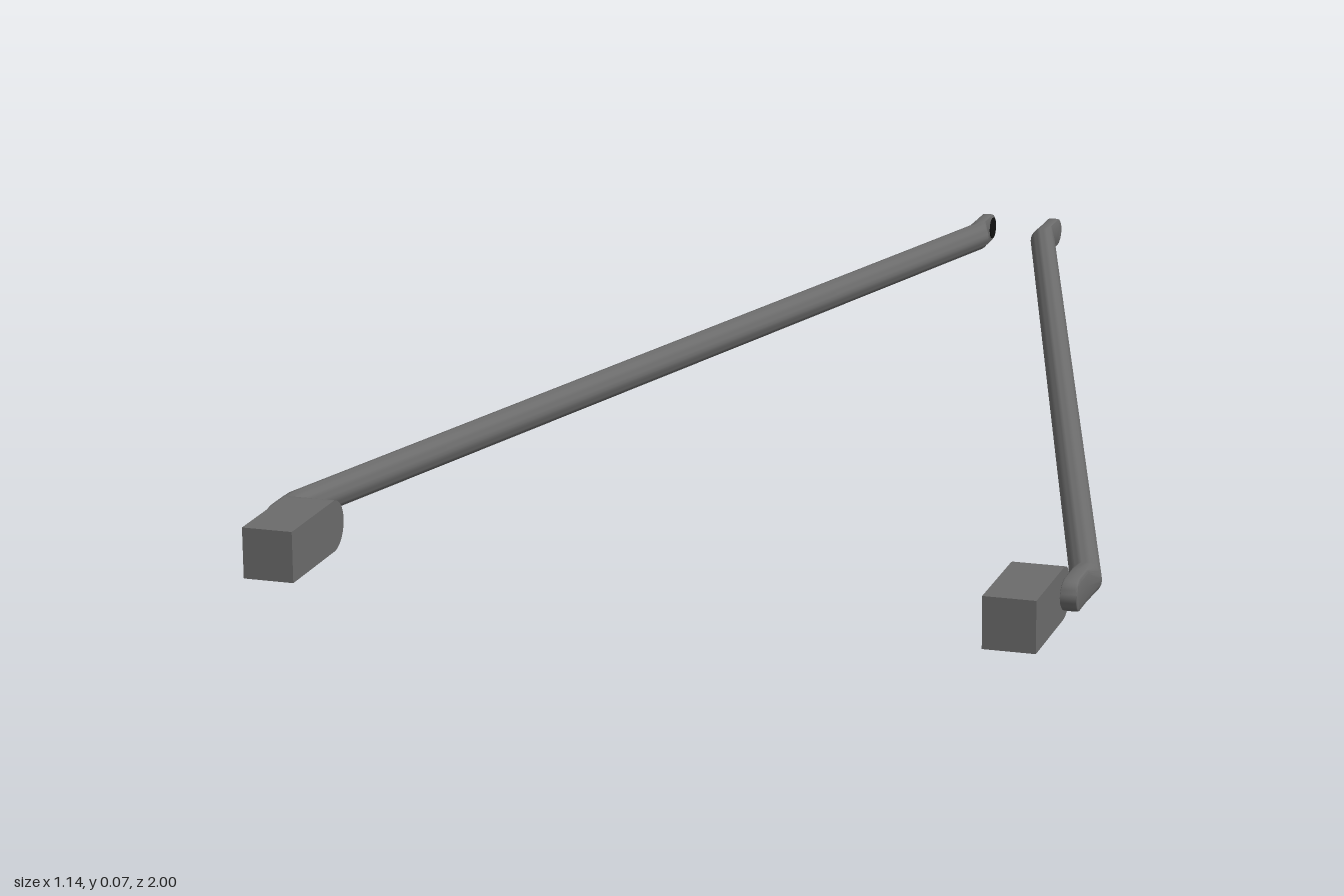
import * as THREE from 'three';
import { toCreasedNormals } from 'three/addons/utils/BufferGeometryUtils.js';

const MID = 0.035; // height of the rod axis

// Loft of sections [x, z, halfWidth, halfHeight, squareness exponent] along z
function loft(sections, n = 24) {
  const pos = [], idx = [];
  const pow = (v, e) => Math.sign(v) * Math.pow(Math.abs(v), e);
  sections.forEach(([x, z, w, h, e], i) => {
    for (let j = 0; j < n; j++) {
      const a = (j / n) * Math.PI * 2;
      const c = Math.abs(Math.cos(a)) < 1e-6 ? 0 : Math.cos(a);
      const s = Math.abs(Math.sin(a)) < 1e-6 ? 0 : Math.sin(a);
      pos.push(x + w * pow(c, e), MID + h * pow(s, e), z);
      if (i < sections.length - 1) {
        const k = (j + 1) % n, A = i * n, B = A + n;
        idx.push(A + j, A + k, B + k, A + j, B + k, B + j);
      }
    }
  });
  const g = new THREE.BufferGeometry();
  g.setAttribute('position', new THREE.Float32BufferAttribute(pos, 3));
  g.setIndex(idx);
  return toCreasedNormals(g, 0.6);
}

// Sections of a flat tab's rounded tip; dir is the z direction it points in
function roundedTip(x, zTip, w, h, dir) {
  const out = [];
  for (let i = 0; i <= 6; i++) {
    const a = (i / 6) * Math.PI / 2;
    out.push([x, zTip - dir * h * (1 - Math.sin(a)), w, h * Math.cos(a), 0.2]);
  }
  return out;
}

function createSide(steel, dark) {
  const side = new THREE.Group();

  // Slanted tube with both ends pressed into flat tabs
  const h = 0.022;
  const rod = new THREE.Mesh(loft([
    ...roundedTip(0.056, -1, 0.009, h, -1).reverse(),
    [0.056, -0.935, 0.009, h, 0.2],
    [0.056, -0.91, 0.0205, h, 1],
    [0.547, 0.79, 0.0215, h, 1],
    [0.546, 0.82, 0.011, h, 0.2],
    ...roundedTip(0.546, 0.88, 0.011, h, 1),
  ]), steel);
  rod.name = 'rod';
  side.add(rod);

  // Mounting block, rounded toward the rod
  const shape = new THREE.Shape();
  shape.moveTo(0.86, 0);
  shape.lineTo(1, 0);
  shape.lineTo(1, 0.07);
  shape.lineTo(0.86, 0.07);
  shape.absarc(0.86, MID, 0.035, Math.PI / 2, Math.PI * 1.5, false);
  const blockGeo = new THREE.ExtrudeGeometry(shape, { depth: 0.07, bevelEnabled: false, curveSegments: 16 });
  blockGeo.rotateY(-Math.PI / 2);
  const block = new THREE.Mesh(toCreasedNormals(blockGeo, 0.6), steel);
  block.position.x = 0.535;
  block.name = 'mountingBlock';
  side.add(block);

  // Dark bolt seat on the inner face of the rear tab
  const seat = new THREE.Mesh(new THREE.CylinderGeometry(0.017, 0.017, 0.003, 20), dark);
  seat.rotation.z = Math.PI / 2;
  seat.position.set(0.0465, MID, -0.976);
  seat.name = 'boltSeat';
  side.add(seat);
  return side;
}

export function createModel() {
  const steel = new THREE.MeshStandardMaterial({ color: 0x6b6b6b });
  steel.name = 'grey steel';
  const dark = new THREE.MeshStandardMaterial({ color: 0x111111 });
  dark.name = 'black';

  const model = new THREE.Group();
  model.name = 'strutPair';
  const left = createSide(steel, dark);
  left.name = 'leftStrut';
  // Half a turn about the long axis gives the opposite strut
  const right = createSide(steel, dark);
  right.name = 'rightStrut';
  right.rotation.z = Math.PI;
  right.position.y = 2 * MID;
  model.add(left, right);
  return model;
}
